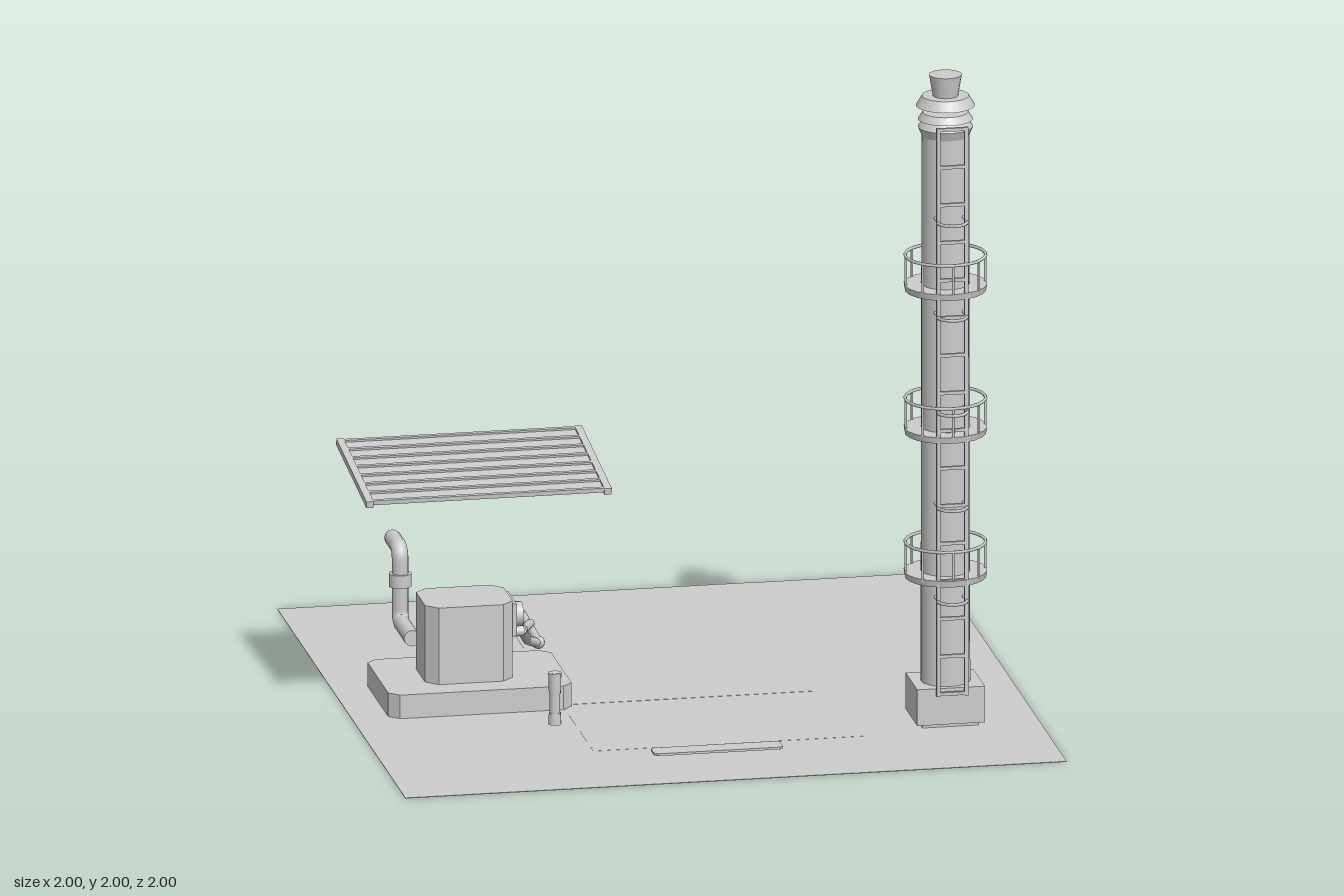
import * as THREE from 'three';

const grey = new THREE.MeshStandardMaterial({ color: 0xcccccc });
grey.name = 'concrete grey';

function add(parent, name, geo, x = 0, y = 0, z = 0) {
  const m = new THREE.Mesh(geo, grey);
  m.name = name;
  m.position.set(x, y, z);
  parent.add(m);
  return m;
}
const box = (w, h, d) => new THREE.BoxGeometry(w, h, d);
const cyl = (r1, r2, h, n = 20) => new THREE.CylinderGeometry(r1, r2, h, n);
const vec = p => new THREE.Vector3(...p);

// Straight rod between two points
function rod(parent, name, a, b, r) {
  const d = vec(b).sub(vec(a));
  const m = add(parent, name, cyl(r, r, d.length(), 12));
  m.position.copy(vec(a)).addScaledVector(d, 0.5);
  m.quaternion.setFromUnitVectors(new THREE.Vector3(0, 1, 0), d.normalize());
  return m;
}

// Pipe following points, with rounded elbows
function pipe(parent, name, pts, r, bend) {
  const path = new THREE.CurvePath();
  const p = pts.map(vec);
  let from = p[0];
  for (let i = 1; i < p.length - 1; i++) {
    const inn = p[i].clone().add(p[i - 1].clone().sub(p[i]).setLength(bend));
    const out = p[i].clone().add(p[i + 1].clone().sub(p[i]).setLength(bend));
    path.add(new THREE.LineCurve3(from, inn));
    path.add(new THREE.QuadraticBezierCurve3(inn, p[i], out));
    from = out;
  }
  path.add(new THREE.LineCurve3(from, p[p.length - 1]));
  add(parent, name, new THREE.TubeGeometry(path, 60, r, 12));
  [0, p.length - 1].forEach(i => {
    const q = p[i === 0 ? 1 : i - 1];
    const dir = p[i].clone().sub(q).normalize();
    const cap = add(parent, name + 'End', new THREE.CircleGeometry(r, 12));
    cap.position.copy(p[i]);
    cap.quaternion.setFromUnitVectors(new THREE.Vector3(0, 0, 1), dir);
  });
}

// Upright prism with cut corners, resting on y = 0
function chamferBlock(w, h, d, c) {
  const x = w / 2, z = d / 2;
  const s = new THREE.Shape([
    [-x + c, -z], [x - c, -z], [x, -z + c], [x, z - c],
    [x - c, z], [-x + c, z], [-x, z - c], [-x, -z + c],
  ].map(([a, b]) => new THREE.Vector2(a, b)));
  return new THREE.ExtrudeGeometry(s, { depth: h, bevelEnabled: false }).rotateX(-Math.PI / 2);
}

function buildGround(g) {
  add(g, 'ground', box(2, 0.002, 2), 0, 0.001, 0);
  add(g, 'road', box(0.82, 0.0006, 1.63), 0.05, 0.0022, -0.185);
  add(g, 'parkingPad', box(0.73, 0.001, 0.295), 0.03, 0.0028, -0.003);
  add(g, 'kerb', chamferBlock(0.39, 0.007, 0.065, 0.01), -0.003, 0.012, 0.717);
}

function buildChimney() {
  const g = new THREE.Group();
  g.name = 'chimney';
  g.position.set(0.73, 0, 0.5);
  add(g, 'footing', box(0.17, 0.012, 0.16), 0, 0.008, 0);
  add(g, 'plinth', box(0.205, 0.112, 0.182), 0, 0.068, -0.002);
  add(g, 'shaft', cyl(0.071, 0.074, 1.72, 28), 0, 0.96, 0);
  // Stepped head with a raised cap on a stem
  add(g, 'lowerCollar', cyl(0.082, 0.07, 0.03, 24), 0, 1.825, 0);
  add(g, 'upperCollar', cyl(0.066, 0.082, 0.025, 24), 0, 1.8525, 0);
  add(g, 'rim', cyl(0.068, 0.082, 0.022, 24), 0, 1.874, 0);
  add(g, 'capStem', cyl(0.01, 0.01, 0.05, 10), 0, 1.895, 0);
  add(g, 'capPlate', cyl(0.07, 0.088, 0.03, 24), 0, 1.92, 0);
  add(g, 'capCup', cyl(0.049, 0.038, 0.065, 24), 0, 1.9675, 0);

  // Walkways with handrails
  [0.455, 0.9, 1.343].forEach(y => {
    add(g, 'walkway', cyl(0.125, 0.121, 0.02, 20), 0, y, 0);
    const rail = add(g, 'handrail', new THREE.TorusGeometry(0.12, 0.005, 6, 24), 0, y + 0.098, 0);
    rail.rotation.x = Math.PI / 2;
    for (let i = 0; i < 8; i++) {
      const a = i * Math.PI / 4;
      add(g, 'railPost', cyl(0.004, 0.004, 0.095, 6),
        Math.cos(a) * 0.12, y + 0.05, Math.sin(a) * 0.12);
    }
  });

  // Ladder with rungs and outward hoops
  [-1, 1].forEach(s => add(g, 'ladderRail', box(0.011, 1.76, 0.014), s * 0.042, 0.985, 0.106));
  for (let i = 0; i < 16; i++) {
    add(g, 'ladderRung', box(0.084, 0.01, 0.01), 0, 0.112 + i * 0.1165, 0.106);
  }
  [0.4, 0.69, 0.985, 1.28, 1.573].forEach(y => {
    const hoop = add(g, 'ladderHoop', new THREE.TorusGeometry(0.044, 0.005, 6, 16, Math.PI), 0, y, 0.108);
    hoop.rotation.x = Math.PI / 2;
    [-1, 1].forEach(s => rod(g, 'ladderBracket', [s * 0.042, y, 0.05], [s * 0.042, y, 0.106], 0.004));
  });
  return g;
}

function buildPump() {
  const g = new THREE.Group();
  g.name = 'pumpStation';
  add(g, 'pumpBase', chamferBlock(0.555, 0.073, 0.38, 0.03), -0.612, 0.002, 0);
  add(g, 'pumpHousing', chamferBlock(0.265, 0.237, 0.21, 0.035), -0.628, 0.075, 0);

  // Side port on the housing
  add(g, 'sidePlate', box(0.016, 0.1, 0.13), -0.49, 0.25, 0);
  const port = add(g, 'sidePort', cyl(0.037, 0.037, 0.03, 20), -0.47, 0.25, 0);
  port.rotation.z = Math.PI / 2;

  // Exhaust pipe behind the housing
  pipe(g, 'exhaustPipe', [[-0.774, 0.173, -0.06], [-0.774, 0.173, -0.25],
    [-0.774, 0.395, -0.25], [-0.774, 0.395, -0.37]], 0.025, 0.035);
  add(g, 'pipeFlange', cyl(0.034, 0.034, 0.04, 16), -0.774, 0.3, -0.25);

  // Jointed delivery arm
  rod(g, 'armStub', [-0.5, 0.205, 0.03], [-0.455, 0.205, 0.03], 0.016);
  rod(g, 'deliveryArm', [-0.46, 0.205, 0.03], [-0.405, 0.115, -0.17], 0.014);
  rod(g, 'deliveryArm', [-0.405, 0.115, -0.17], [-0.36, 0.085, -0.23], 0.014);
  rod(g, 'returnArm', [-0.43, 0.17, -0.1], [-0.385, 0.15, -0.225], 0.013);
  rod(g, 'returnArm', [-0.41, 0.18, -0.235], [-0.36, 0.09, -0.225], 0.013);
  add(g, 'armJoint', new THREE.SphereGeometry(0.02, 14, 10), -0.36, 0.088, -0.23);

  // Bollards at either side
  [-0.395, 0.39].forEach(z => {
    add(g, 'bollard', cyl(0.016, 0.016, 0.16, 12), -0.43, 0.1, z);
    add(g, 'bollardTop', cyl(0.02, 0.018, 0.065, 12), -0.43, 0.147, z);
    add(g, 'bollardFoot', cyl(0.018, 0.02, 0.035, 12), -0.43, 0.038, z);
  });
  return g;
}

function buildCanopy() {
  const g = new THREE.Group();
  g.name = 'canopy';
  g.position.set(-0.613, 0.735, 0.073);
  g.rotation.x = 0.122;
  add(g, 'roofPanel', box(0.72, 0.008, 0.465));
  [-1, 1].forEach(s => add(g, 'roofEdge', box(0.022, 0.02, 0.475), s * 0.36, 0, 0));
  for (let i = 0; i < 8; i++) {
    add(g, 'roofBatten', box(0.72, 0.01, 0.012), 0, 0.005, -0.227 + i * 0.0649);
  }
  return g;
}

export function createModel() {
  const model = new THREE.Group();
  model.name = 'industrialYard';
  buildGround(model);
  model.add(buildChimney(), buildPump(), buildCanopy());
  add(model, 'signBoard', box(0.38, 0.107, 0.035), -0.61, 0.603, -0.28);
  return model;
}
